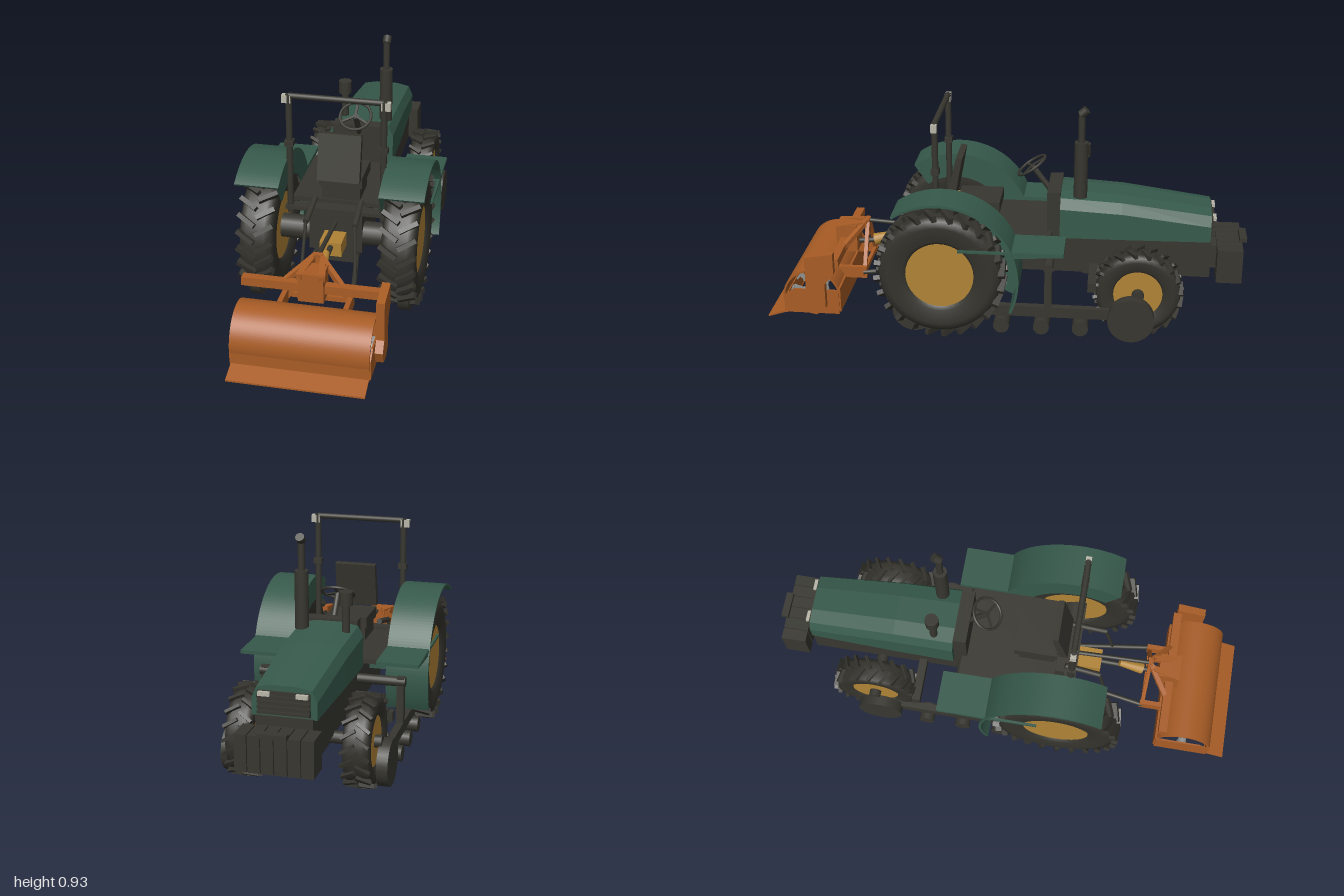
import * as THREE from 'three';
import { mergeGeometries } from 'three/addons/utils/BufferGeometryUtils.js';

const mat = (name, color, flat) => {
  const m = new THREE.MeshStandardMaterial({ color, side: THREE.DoubleSide, flatShading: !!flat });
  m.name = name;
  return m;
};
const V = (x, y, z) => new THREE.Vector3(x, y, z);

export function createModel() {
  const root = new THREE.Group();
  const dark = mat('dark iron', 0x37362f), tyre = mat('tyre rubber', 0x33322c), green = mat('green paint', 0x36594b);
  const gold = mat('ochre wheel', 0xb08335), orange = mat('orange paint', 0xa85c25);
  const pale = mat('pale fitting', 0xb8b5a8), steel = mat('steel', 0x8f9090);

  const add = (name, geo, m, parent = root) => {
    const mesh = new THREE.Mesh(geo, m);
    mesh.name = name;
    parent.add(mesh);
    return mesh;
  };
  // box given by its min and max along each axis
  const box = (name, m, x0, x1, y0, y1, z0, z1, parent) => {
    const b = add(name, new THREE.BoxGeometry(Math.abs(x1 - x0), y1 - y0, z1 - z0), m, parent);
    b.position.set((x0 + x1) / 2, (y0 + y1) / 2, (z0 + z1) / 2);
    return b;
  };
  // round bar from a to b
  const rod = (name, m, a, b, r, r2 = r, seg = 16) => {
    const d = b.clone().sub(a);
    const c = add(name, new THREE.CylinderGeometry(r2, r, d.length(), seg), m);
    c.position.copy(a).addScaledVector(d, 0.5);
    c.quaternion.setFromUnitVectors(V(0, 1, 0), d.normalize());
    return c;
  };
  // square bar from a to b
  const beam = (name, m, a, b, w, h = w) => {
    const c = add(name, new THREE.BoxGeometry(w, h, a.distanceTo(b)), m);
    c.position.copy(a).add(b).multiplyScalar(0.5);
    c.lookAt(b);
    return c;
  };
  // side profile drawn in (z, y), extruded from x0 to x1
  const profile = (name, m, shape, x0, x1) => {
    const g = new THREE.ExtrudeGeometry(shape, { depth: x1 - x0, bevelEnabled: false, curveSegments: 32 });
    return add(name, g.rotateY(-Math.PI / 2).translate(x1, 0, 0), m);
  };
  const poly = pts => new THREE.Shape(pts.map(p => new THREE.Vector2(...p)));
  const band = (z, y, r0, r1, a0, a1) => {
    const s = new THREE.Shape(), k = Math.PI / 180;
    s.absarc(z, y, r1, a0 * k, a1 * k, false);
    s.absarc(z, y, r0, a1 * k, a0 * k, true);
    return s;
  };
  // flat-sided skin through equal cross-sections running towards -z
  const loft = secs => {
    const p = [], n = secs[0].length;
    for (let i = 0; i < secs.length - 1; i++) for (let j = 0; j < n; j++) {
      const a = secs[i][j], b = secs[i][(j + 1) % n], d = secs[i + 1][j], c = secs[i + 1][(j + 1) % n];
      p.push(...a, ...d, ...b, ...b, ...d, ...c);
    }
    const f = secs[0], l = secs[secs.length - 1];
    for (let j = 1; j < n - 1; j++) p.push(...f[0], ...f[j], ...f[j + 1], ...l[0], ...l[j + 1], ...l[j]);
    const g = new THREE.BufferGeometry();
    g.setAttribute('position', new THREE.Float32BufferAttribute(p, 3));
    g.computeVertexNormals();
    return g;
  };

  // Wheels: lathed tyre, chevron lugs and dished disc
  const wheel = (name, x, y, z, r, w, hub, lugs) => {
    const g = new THREE.Group();
    g.name = name;
    g.position.set(x, y, z);
    root.add(g);
    const h = w / 2, R = r * 0.93;
    const pts = [[hub, -h * 0.7], [hub * 1.1, -h * 0.88], [R * 0.85, -h * 0.96], [R * 0.96, -h * 0.85], [R, -h * 0.5],
      [R, h * 0.5], [R * 0.96, h * 0.85], [R * 0.85, h * 0.96], [hub * 1.1, h * 0.88], [hub, h * 0.7]];
    add('tyre', new THREE.LatheGeometry(pts.map(q => new THREE.Vector2(...q)), 40).rotateZ(-Math.PI / 2), tyre, g);
    const parts = [];
    for (const s of [-1, 1]) for (let i = 0; i < lugs; i++) {
      const b = new THREE.BoxGeometry(h * 1.12, r * 0.1, r * 0.07);
      b.rotateY(s * 0.55).rotateZ(-s * 0.06).translate(s * h * 0.5, r * 0.945, 0);
      parts.push(b.rotateX((i + (s > 0 ? 0.5 : 0)) / lugs * Math.PI * 2));
    }
    add('treadLugs', mergeGeometries(parts), tyre, g);
    add('disc', new THREE.CylinderGeometry(hub, hub, w * 0.72, 32).rotateZ(Math.PI / 2), gold, g);
  };
  for (const s of [-1, 1]) {
    wheel('rearWheel', s * 0.287, 0.277, 0.25, 0.272, 0.147, 0.14, 24);
    wheel('frontWheel', s * 0.231, 0.196, -0.555, 0.186, 0.112, 0.1, 20);
  }

  // Chassis, axles and floor
  box('chassis', dark, -0.11, 0.11, 0.21, 0.378, -0.85, 0.3);
  box('gearHousing', dark, -0.09, 0.09, 0.16, 0.3, 0.0, 0.3);
  box('frontCarrier', dark, -0.08, 0.08, 0.15, 0.25, -0.65, -0.46);
  rod('rearAxle', dark, V(-0.25, 0.277, 0.25), V(0.25, 0.277, 0.25), 0.05);
  rod('frontAxle', dark, V(-0.3, 0.196, -0.555), V(0.3, 0.196, -0.555), 0.025);
  box('floor', dark, -0.2, 0.2, 0.375, 0.395, -0.19, 0.21);
  box('rearFloorBar', dark, -0.21, 0.21, 0.38, 0.395, 0.25, 0.3);

  // Hood with chamfered shoulders
  const section = (z, w, t, b) => [[-w, b], [w, b], [w, t - 0.055], [w * 0.85, t - 0.012], [w * 0.4, t], [-w * 0.4, t],
    [-w * 0.85, t - 0.012], [-w, t - 0.055]].map(q => [...q, z]);
  add('hood', loft([section(-0.225, 0.14, 0.557, 0.375), section(-0.48, 0.136, 0.543, 0.375),
    section(-0.845, 0.125, 0.497, 0.375)]), green);
  box('grille', dark, -0.1, 0.1, 0.385, 0.475, -0.852, -0.845);
  for (let i = 0; i < 4; i++) box('grilleSlat', dark, -0.1, 0.1, 0.39 + i * 0.02, 0.4 + i * 0.02, -0.862, -0.85);
  for (const s of [-1, 1]) box('headlight', pale, s * 0.05, s * 0.095, 0.458, 0.474, -0.866, -0.85);

  // Front weights
  box('weightHanger', dark, -0.08, 0.08, 0.24, 0.34, -0.9, -0.84);
  for (let i = 0; i < 6; i++) {
    const x = -0.15 + i * 0.0505;
    box('frontWeight', dark, x, x + 0.046, 0.205, 0.35, -0.98, -0.875);
  }
  box('weightCore', dark, -0.14, 0.14, 0.215, 0.34, -0.97, -0.88);
  box('towTab', dark, -0.055, 0.055, 0.35, 0.368, -1.0, -0.97);

  // Exhaust stack and air cleaner
  rod('exhaustPipe', dark, V(0.093, 0.5, -0.305), V(0.093, 0.91, -0.305), 0.014);
  rod('muffler', dark, V(0.093, 0.545, -0.305), V(0.093, 0.783, -0.305), 0.028);
  rod('exhaustTip', dark, V(0.093, 0.9, -0.3), V(0.093, 0.922, -0.325), 0.018);
  rod('cleanerStem', dark, V(-0.09, 0.5, -0.31), V(-0.09, 0.66, -0.31), 0.016);
  rod('cleanerBowl', dark, V(-0.09, 0.655, -0.31), V(-0.09, 0.71, -0.31), 0.028);

  // Driver's place
  box('dash', dark, -0.115, 0.115, 0.378, 0.565, -0.225, -0.17);
  rod('steeringColumn', dark, V(0, 0.53, -0.18), V(0, 0.64, -0.097), 0.012);
  const steering = new THREE.Group();
  steering.name = 'steeringWheel';
  steering.position.set(0, 0.64, -0.097);
  steering.rotation.x = 0.6;
  root.add(steering);
  add('rim', new THREE.TorusGeometry(0.067, 0.006, 8, 32).rotateX(Math.PI / 2), dark, steering);
  for (let i = 0; i < 3; i++) {
    const g = new THREE.BoxGeometry(0.067, 0.006, 0.01).translate(0.033, 0, 0);
    add('spoke', g.rotateY(Math.PI / 2 + i * Math.PI * 2 / 3), dark, steering);
  }
  box('seatBase', dark, -0.08, 0.08, 0.39, 0.46, 0.05, 0.2);
  box('seatCushion', dark, -0.09, 0.09, 0.455, 0.5, 0.03, 0.21);
  profile('seatBack', dark, poly([[0.19, 0.5], [0.225, 0.5], [0.19, 0.692], [0.165, 0.688]].map(([z, y]) => [y > 0.6 ? z + 0.02 : z + 0.03, y])), -0.088, 0.088);

  // Roll bar
  rod('rollCrossbar', dark, V(-0.19, 0.874, 0.28), V(0.19, 0.874, 0.28), 0.012);
  for (const s of [-1, 1]) {
    rod('rollPost', dark, V(s * 0.191, 0.36, 0.28), V(s * 0.191, 0.88, 0.28), 0.013);
    box('rollSleeve', dark, s * 0.173, s * 0.209, 0.66, 0.684, 0.264, 0.296);
    box('rollHinge', pale, s * 0.181, s * 0.218, 0.845, 0.878, 0.268, 0.292);

    // Fenders with inner walls and front shelves
    const span = (a, b) => (s > 0 ? [a, b] : [-b, -a]);
    profile('fender', green, band(0.25, 0.275, 0.316, 0.326, 55, 205), ...span(0.2, 0.38));
    profile('fenderWall', green, band(0.25, 0.275, 0.22, 0.32, 55, 205), ...span(0.2, 0.207));
    profile('fenderShelf', green, poly([[-0.02, 0.38], [-0.02, 0.41], [-0.255, 0.41], [-0.255, 0.395]]), ...span(0.2, 0.375));
    box('innerBox', green, s * 0.12, s * 0.2, 0.3, 0.36, -0.03, 0.1);
    box('fenderStrut', green, s * 0.367, s * 0.377, 0.398, 0.408, -0.25, 0.17);

    // Side rail with rollers and end discs
    box('sideRail', dark, s * 0.275, s * 0.305, 0.09, 0.135, -0.5, 0.36);
    for (const z of [0, -0.165, -0.325]) rod('roller', dark, V(s * 0.255, 0.055, z), V(s * 0.33, 0.055, z), 0.033, 0.033, 20);
    for (const z of [0, -0.165, -0.325]) box('rollerBracket', dark, s * 0.275, s * 0.305, 0.05, 0.1, z - 0.015, z + 0.015);
    rod('frontDisc', dark, V(s * 0.29, 0.103, -0.53), V(s * 0.335, 0.103, -0.53), 0.095, 0.095, 28);
    rod('rearDisc', dark, V(s * 0.285, 0.105, 0.36), V(s * 0.33, 0.105, 0.36), 0.09, 0.09, 28);
    box('railPost', dark, s * 0.275, s * 0.305, 0.12, 0.33, -0.205, -0.175);
    rod('postPivot', dark, V(s * 0.1, 0.31, -0.19), V(s * 0.31, 0.31, -0.19), 0.02);

    // Three-point hitch
    rod('lowerArm', dark, V(s * 0.085, 0.19, 0.28), V(s * 0.135, 0.175, 0.61), 0.01);
    rod('liftArm', dark, V(s * 0.095, 0.42, 0.25), V(s * 0.1, 0.385, 0.4), 0.012);
    rod('liftLink', dark, V(s * 0.1, 0.385, 0.4), V(s * 0.11, 0.19, 0.44), 0.007);
  }
  box('crossTube', dark, -0.3, 0.3, 0.21, 0.25, -0.385, -0.35);
  rod('topLink', dark, V(0, 0.34, 0.3), V(0, 0.36, 0.61), 0.009);
  box('powerHousing', gold, -0.045, 0.045, 0.24, 0.3, 0.29, 0.4);
  rod('driveShaft', dark, V(0, 0.28, 0.39), V(0, 0.26, 0.68), 0.011);
  rod('shaftGuard', gold, V(0, 0.3, 0.48), V(0, 0.27, 0.58), 0.016, 0.026);

  // Tiller frame
  box('tillerBeam', orange, -0.278, 0.27, 0.26, 0.295, 0.685, 0.72);
  box('tillerGearbox', orange, -0.05, 0.05, 0.23, 0.35, 0.65, 0.74);
  box('mastPlate', orange, -0.02, 0.02, 0.3, 0.37, 0.6, 0.62);
  box('hitchBar', orange, -0.135, 0.135, 0.165, 0.185, 0.6, 0.615);
  for (const s of [-1, 1]) {
    beam('mastLeg', orange, V(s * 0.008, 0.363, 0.61), V(s * 0.125, 0.275, 0.7), 0.02);
    beam('mastUpright', orange, V(s * 0.01, 0.36, 0.607), V(s * 0.125, 0.16, 0.607), 0.016);
    beam('mastStay', orange, V(s * 0.02, 0.35, 0.615), V(s * 0.045, 0.335, 0.74), 0.025);
    box('hitchLug', orange, s * 0.12, s * 0.14, 0.15, 0.2, 0.595, 0.72);
  }

  // Tiller hood, end plates and levelling flap
  profile('tillerHood', orange, band(0.805, 0.113, 0.115, 0.123, -12, 165), -0.27, 0.265);
  box('hoodFront', orange, -0.27, 0.265, 0.05, 0.16, 0.683, 0.692);
  box('hoodRear', orange, -0.27, 0.265, 0.035, 0.115, 0.915, 0.925);
  profile('levellingFlap', orange, poly([[0.912, 0.038], [1.0, 0.01], [1.0, 0.017], [0.912, 0.046]]), -0.268, 0.263);
  for (const x of [-0.274, 0.262]) profile('endPlate', orange,
    poly([[0.69, 0.04], [0.92, 0.04], [0.92, 0.12], [0.88, 0.15], [0.69, 0.15]]), x, x + 0.007);
  profile('chainCase', orange, poly([[0.7, 0.33], [0.82, 0.31], [0.82, 0.15], [0.85, 0.11], [0.83, 0.06], [0.78, 0.05],
    [0.74, 0.08], [0.74, 0.19], [0.7, 0.24]]), 0.268, 0.3);

  // Rotor with bent tines
  rod('rotorShaft', steel, V(-0.265, 0.11, 0.805), V(0.262, 0.11, 0.805), 0.018);
  const tines = [];
  for (let i = 0; i < 9; i++) for (let k = 0; k < 4; k++) {
    const side = k % 2 ? 1 : -1, a = k * Math.PI / 2 + i * 0.35, x = -0.224 + i * 0.056;
    const stem = new THREE.BoxGeometry(0.007, 0.08, 0.018).translate(0, 0.05, 0);
    const blade = new THREE.BoxGeometry(0.028, 0.007, 0.02).translate(side * 0.012, 0.092, 0.004);
    tines.push(mergeGeometries([stem, blade]).rotateX(a).translate(x, 0.11, 0.805));
  }
  add('tines', mergeGeometries(tines), steel);
  for (let i = 0; i < 9; i++) rod('rotorFlange', steel, V(-0.228 + i * 0.056, 0.11, 0.805), V(-0.22 + i * 0.056, 0.11, 0.805), 0.035);

  return root;
}
